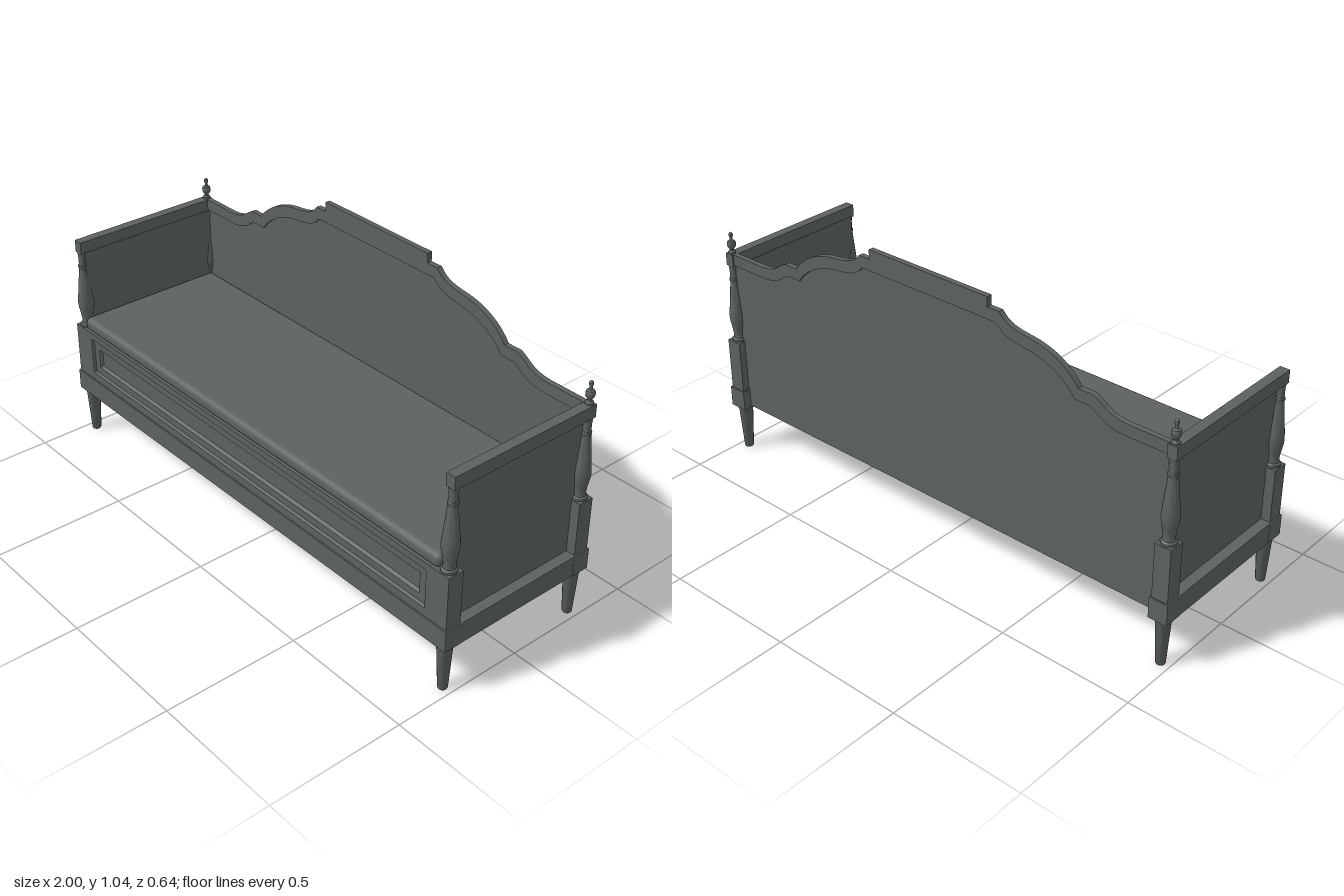
import * as THREE from 'three';
import { toCreasedNormals } from 'three/addons/utils/BufferGeometryUtils.js';
import { RoundedBoxGeometry } from 'three/addons/geometries/RoundedBoxGeometry.js';

export function createModel() {
  const model = new THREE.Group();
  model.name = 'daybed';
  const paint = new THREE.MeshStandardMaterial({ name: 'slate grey', color: 0x5c6162 });

  const add = (name, geometry, x = 0, y = 0, z = 0) => {
    const mesh = new THREE.Mesh(geometry, paint);
    mesh.name = name;
    mesh.position.set(x, y, z);
    model.add(mesh);
  };
  // Box given by its limits on each axis
  const box = (name, x0, x1, y0, y1, z0, z1) =>
    add(name, new THREE.BoxGeometry(x1 - x0, y1 - y0, z1 - z0), (x0 + x1) / 2, (y0 + y1) / 2, (z0 + z1) / 2);
  const turned = (profile) =>
    toCreasedNormals(new THREE.LatheGeometry(profile.map(([r, y]) => new THREE.Vector2(r, y)), 24), 0.6);
  const slab = (shape, depth) => toCreasedNormals(
    new THREE.ExtrudeGeometry(shape, { depth, bevelEnabled: false }), 0.5);

  // Nested rectangles [half width, bottom, top, z] joined into a moulded face
  const mouldedFace = (rings) => {
    const loops = rings.map(([x, y0, y1, z]) => [[-x, y0, z], [x, y0, z], [x, y1, z], [-x, y1, z]]);
    const corners = [];
    for (let i = 0; i < loops.length - 1; i++) {
      for (let j = 0; j < 4; j++) {
        const k = (j + 1) % 4, a = loops[i], b = loops[i + 1];
        corners.push(a[j], a[k], b[k], a[j], b[k], b[j]);
      }
    }
    const [p, q, r, s] = loops[loops.length - 1];
    corners.push(p, q, r, p, r, s);
    const geometry = new THREE.BufferGeometry();
    geometry.setAttribute('position', new THREE.Float32BufferAttribute(corners.flat(), 3));
    geometry.computeVertexNormals();
    return geometry;
  };

  const leg = turned([[0, 0], [0.015, 0], [0.017, 0.004], [0.026, 0.165], [0.029, 0.172], [0.029, 0.183]]);
  const spindle = turned([
    [0.027, 0.46], [0.027, 0.468], [0.021, 0.473], [0.02, 0.488], [0.023, 0.51], [0.028, 0.535],
    [0.03, 0.555], [0.027, 0.59], [0.021, 0.645], [0.016, 0.698], [0.018, 0.701], [0.018, 0.709],
    [0.015, 0.712], [0.015, 0.74], [0.017, 0.762]]);
  const finial = turned([
    [0.014, 0.808], [0.014, 0.815], [0.008, 0.82], [0.008, 0.826], [0.015, 0.836], [0.016, 0.848],
    [0.013, 0.856], [0.006, 0.86], [0.005, 0.87], [0.008, 0.877], [0.007, 0.885], [0, 0.892]]);

  // Corner posts, end panels and arm rails
  const px = 0.965, pz = 0.285;
  for (const s of [-1, 1]) {
    for (const f of [-1, 1]) {
      add('leg', leg, s * px, 0, f * pz);
      add('postSpindle', spindle, s * px, 0, f * pz);
      add('postBlock', new THREE.BoxGeometry(0.06, 0.2, 0.06), s * px, 0.36, f * pz);
      add('postFoot', new THREE.BoxGeometry(0.07, 0.078, 0.07), s * px, 0.221, f * pz);
    }
    add('finial', finial, s * px, 0, -pz);
    add('endPanel', new THREE.BoxGeometry(0.016, 0.51, 0.57), s * 0.953, 0.51, 0);
    add('endRail', new THREE.BoxGeometry(0.05, 0.078, 0.57), s * 0.974, 0.221, 0);
    add('armRail', new THREE.BoxGeometry(0.036, 0.047, 0.6), s * px, 0.7845, 0);
  }

  // Base: front rail and the board under the seat
  box('frontRail', -0.95, 0.95, 0.182, 0.26, 0.285, 0.32);
  box('seatBottom', -0.95, 0.95, 0.235, 0.25, -0.283, 0.29);

  // Front fascia: frame, sunk panel and a deeper sunk centre
  add('fascia', mouldedFace([
    [0.95, 0.26, 0.46, 0.295], [0.95, 0.26, 0.46, 0.315], [0.9, 0.29, 0.435, 0.315], [0.895, 0.295, 0.43, 0.306],
    [0.866, 0.322, 0.401, 0.306], [0.858, 0.33, 0.393, 0.296]]));

  // Mattress
  add('mattress', new RoundedBoxGeometry(1.89, 0.052, 0.59, 4, 0.022), 0, 0.481, 0.016);

  // Stepped, curved crest of the backrest, mirrored about the middle
  const half = new THREE.Path();
  half.moveTo(0.255, 1.045);
  half.lineTo(0.255, 1.01);
  half.lineTo(0.302, 1.01);
  half.bezierCurveTo(0.33, 0.975, 0.36, 0.97, 0.41, 0.963);
  half.bezierCurveTo(0.51, 0.955, 0.58, 0.91, 0.615, 0.86);
  half.lineTo(0.67, 0.86);
  half.bezierCurveTo(0.71, 0.845, 0.72, 0.81, 0.81, 0.81);
  half.lineTo(0.95, 0.81);
  const mirrored = (points) => [...points.map((p) => new THREE.Vector2(-p.x, p.y)).reverse(), ...points];
  const rightSide = half.getPoints(10);
  const crest = mirrored(rightSide);
  // Lower edge of the trim runs straight beneath the middle step
  const lowerEdge = mirrored(rightSide.slice(1).map((p) =>
    new THREE.Vector2(p.x < 0.9 ? p.x - 0.012 : p.x, p.y - 0.042))).reverse();

  // Trim along the crest stands proud of the thin board on both faces
  add('crestTrim', slab(new THREE.Shape([...crest, ...lowerEdge]), 0.02), 0, 0, -0.295);
  const board = new THREE.Shape([
    new THREE.Vector2(-0.95, 0.19), new THREE.Vector2(0.95, 0.19), ...lowerEdge]);
  add('backBoard', slab(board, 0.006), 0, 0, -0.288);

  return model;
}
